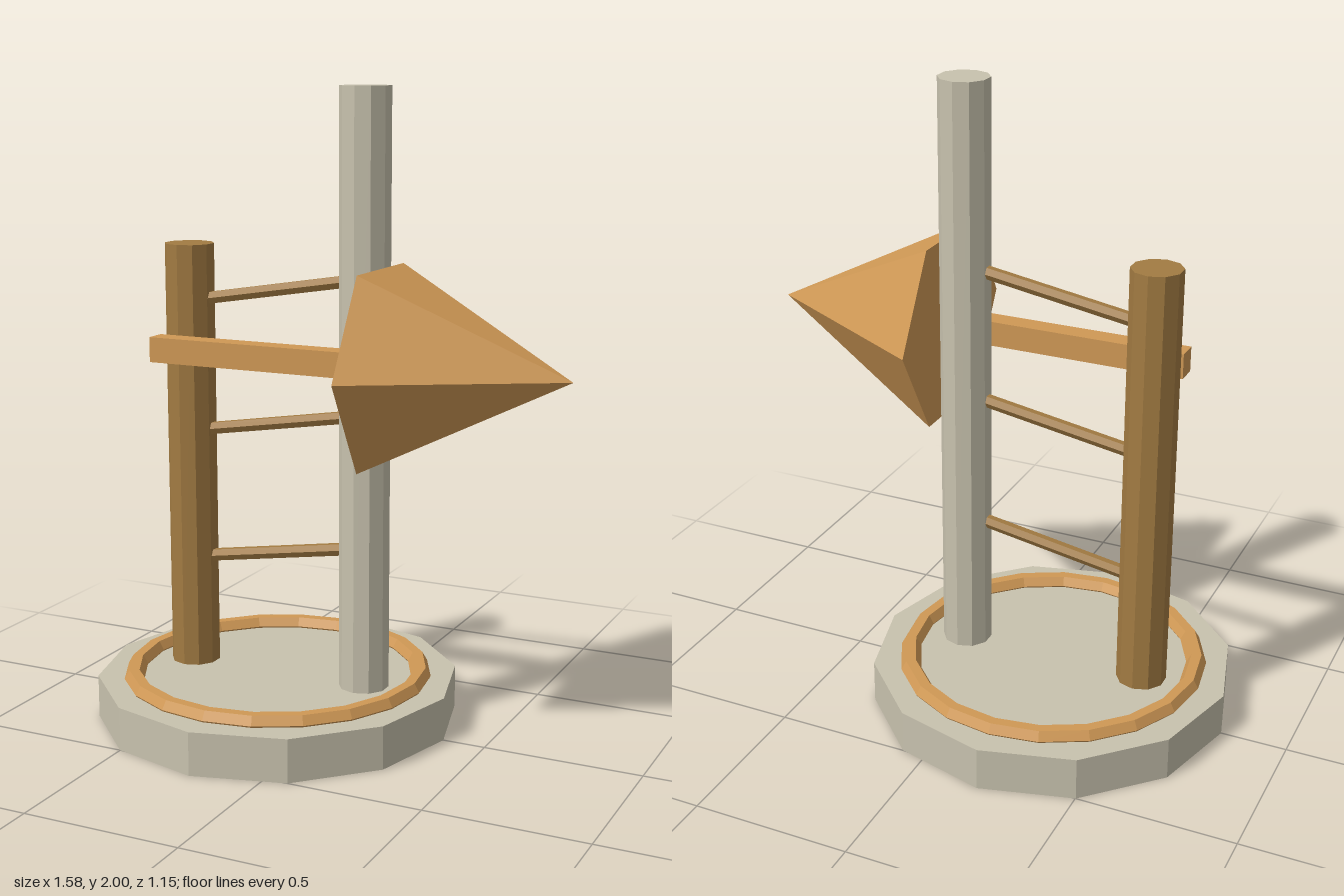
import * as THREE from 'three';

export function createModel() {
  const model = new THREE.Group();
  model.name = 'ladderSign';

  const makeMaterial = (name, color) => {
    const m = new THREE.MeshStandardMaterial({ color, flatShading: true });
    m.name = name;
    return m;
  };
  const stone = makeMaterial('paleStone', 0xc8c2ae);
  const orangeWood = makeMaterial('orangeWood', 0xcf9855);
  const brownWood = makeMaterial('brownWood', 0xa27b42);

  const add = (name, geometry, material, x, y, z) => {
    const mesh = new THREE.Mesh(geometry, material);
    mesh.name = name;
    mesh.position.set(x, y, z);
    model.add(mesh);
    return mesh;
  };

  const centreX = -0.213;
  const baseTop = 0.137;
  const postOffset = 0.304;

  // Twelve-sided plinth with a raised ring
  add('base', new THREE.CylinderGeometry(0.577, 0.577, baseTop, 12), stone, centreX, baseTop / 2, 0);
  add('baseRing', new THREE.TorusGeometry(0.462, 0.032, 6, 20), orangeWood, centreX, 0.142, 0)
    .rotation.x = Math.PI / 2;

  // Two upright posts
  const addPost = (name, x, top, material) => {
    const height = top - baseTop;
    add(name, new THREE.CylinderGeometry(0.079, 0.079, height, 10), material, x, baseTop + height / 2, 0);
  };
  addPost('shortPost', centreX - postOffset, 1.508, brownWood);
  addPost('tallPost', centreX + postOffset, 2, stone);

  // Sloping rungs, their ends buried in the posts
  const slope = Math.atan(0.163);
  for (let i = 0; i < 3; i++) {
    add('rung', new THREE.CylinderGeometry(0.021, 0.021, 0.58, 6), brownWood, centreX, 0.536 + i * 0.42, 0)
      .rotation.z = slope - Math.PI / 2;
  }

  // Arrow: square shaft and hexagonal pyramid head
  const arrowY = 1.184, arrowZ = 0.11;
  const shaftStart = -0.583, headStart = 0.192, tip = 0.787;
  add('arrowShaft', new THREE.BoxGeometry(headStart - shaftStart, 0.079, 0.068), orangeWood,
    (shaftStart + headStart) / 2, arrowY, arrowZ);
  add('arrowHead', new THREE.ConeGeometry(0.335, tip - headStart, 6), orangeWood,
    (headStart + tip) / 2, arrowY, arrowZ).rotation.z = -Math.PI / 2;

  return model;
}
